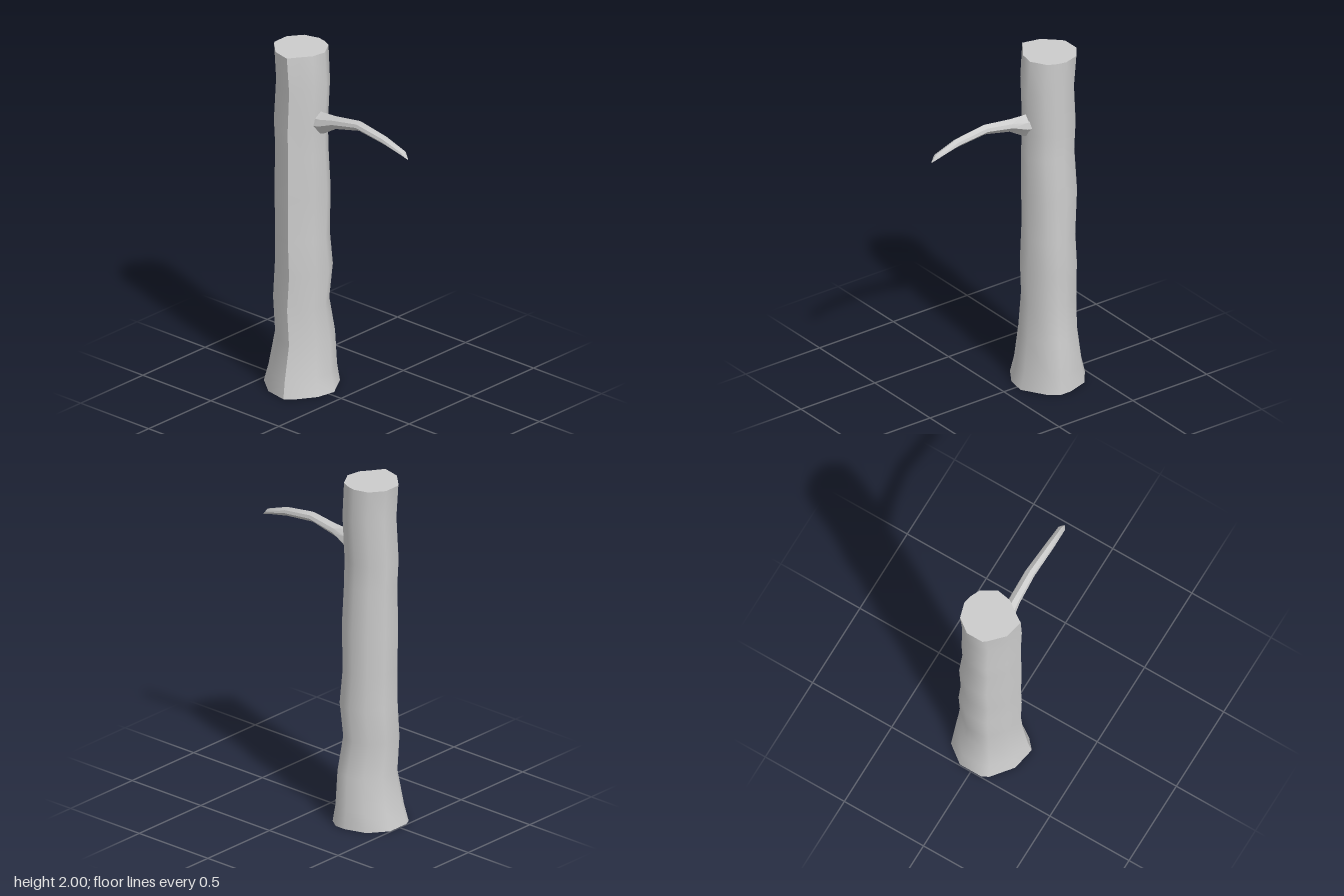
import * as THREE from 'three';
import { toCreasedNormals } from 'three/addons/utils/BufferGeometryUtils.js';

const { lerp } = THREE.MathUtils;

// Skin through rings of [x, y, z] points, closed by a fan over the last ring
function loft(rings, crease) {
  const n = rings[0].length, pos = rings.flat(2), index = [];
  for (let r = 0; r < rings.length - 1; r++) {
    for (let i = 0; i < n; i++) {
      const a = r * n + i, b = r * n + (i + 1) % n;
      index.push(a, b, a + n, b, b + n, a + n);
    }
  }
  const last = rings[rings.length - 1], start = (rings.length - 1) * n;
  for (let k = 0; k < 3; k++) pos.push(last.reduce((s, p) => s + p[k], 0) / n);
  for (let i = 0; i < n; i++) index.push(rings.length * n, start + i, start + (i + 1) % n);
  const geo = new THREE.BufferGeometry();
  geo.setAttribute('position', new THREE.Float32BufferAttribute(pos, 3));
  geo.setIndex(index);
  return toCreasedNormals(geo, crease);
}

// Trunk outlines [x, z] at foot and top, matched point for point
const FOOT = [[-0.495, 0.06], [-0.475, 0.1], [-0.355, 0.195], [-0.22, 0.22], [-0.165, 0.17], [-0.1, 0.07],
  [-0.08, -0.04], [-0.165, -0.18], [-0.225, -0.22], [-0.29, -0.22], [-0.415, -0.18], [-0.495, -0.075]];
const TOP = [[-0.45, 0.04], [-0.435, 0.06], [-0.35, 0.14], [-0.24, 0.165], [-0.2, 0.105], [-0.155, 0.045],
  [-0.14, -0.04], [-0.195, -0.13], [-0.25, -0.155], [-0.3, -0.165], [-0.39, -0.14], [-0.45, -0.06]];

// Trunk levels: y, min x, max x, back z, front z
const LEVELS = [
  [0, -0.495, -0.085, -0.215, 0.22], [0.1, -0.47, -0.11, -0.205, 0.2],
  [0.3, -0.44, -0.125, -0.19, 0.167], [0.5, -0.45, -0.145, -0.16, 0.165],
  [0.7, -0.445, -0.13, -0.175, 0.163], [0.9, -0.44, -0.145, -0.16, 0.163],
  [1.15, -0.45, -0.14, -0.165, 0.165], [1.4, -0.44, -0.145, -0.147, 0.163],
  [1.55, -0.45, -0.147, -0.147, 0.163], [1.8, -0.435, -0.137, -0.152, 0.163],
  [2, -0.45, -0.152, -0.157, 0.165],
];

function trunkRing([y, x0, x1, z0, z1]) {
  const t = Math.min(1, y / 1.2);
  const pts = FOOT.map((p, i) => [lerp(p[0], TOP[i][0], t), lerp(p[1], TOP[i][1], t)]);
  const xs = pts.map(p => p[0]), zs = pts.map(p => p[1]);
  const fit = (v, all, lo, hi) => THREE.MathUtils.mapLinear(v, Math.min(...all), Math.max(...all), lo, hi);
  return pts.map(([x, z]) => [fit(x, xs, x0, x1), y, fit(z, zs, z0, z1)]);
}

// Branch section [z, y] and stations: x, bottom y, top y, centre z, half width
const SECTION = [[0, 1], [0.8, 0.5], [1, -0.1], [0, -1], [-1, -0.1], [-0.8, 0.5]];
const STATIONS = [
  [-0.18, 1.52, 1.665, 0, 0.05], [-0.13, 1.535, 1.662, 0, 0.045],
  [-0.04, 1.59, 1.667, 0, 0.032], [0.13, 1.63, 1.69, -0.003, 0.029],
  [0.32, 1.607, 1.66, 0.002, 0.025], [0.46, 1.578, 1.61, 0, 0.02],
  [0.49, 1.568, 1.573, 0, 0.003],
];

function branchRing([x, lo, hi, z, w]) {
  return SECTION.map(([u, v]) => [x, (lo + hi) / 2 + v * (hi - lo) / 2, z + u * w]);
}

export function createModel() {
  const group = new THREE.Group();
  const bark = new THREE.MeshStandardMaterial({ color: 0xcccccc, side: THREE.DoubleSide });
  // Trunk, open underneath
  const trunk = new THREE.Mesh(loft(LEVELS.map(trunkRing), 0.8), bark);
  trunk.name = 'trunk';
  // Drooping side branch
  const branch = new THREE.Mesh(loft(STATIONS.map(branchRing), 0.6), bark);
  branch.name = 'branch';
  group.add(trunk, branch);
  return group;
}
